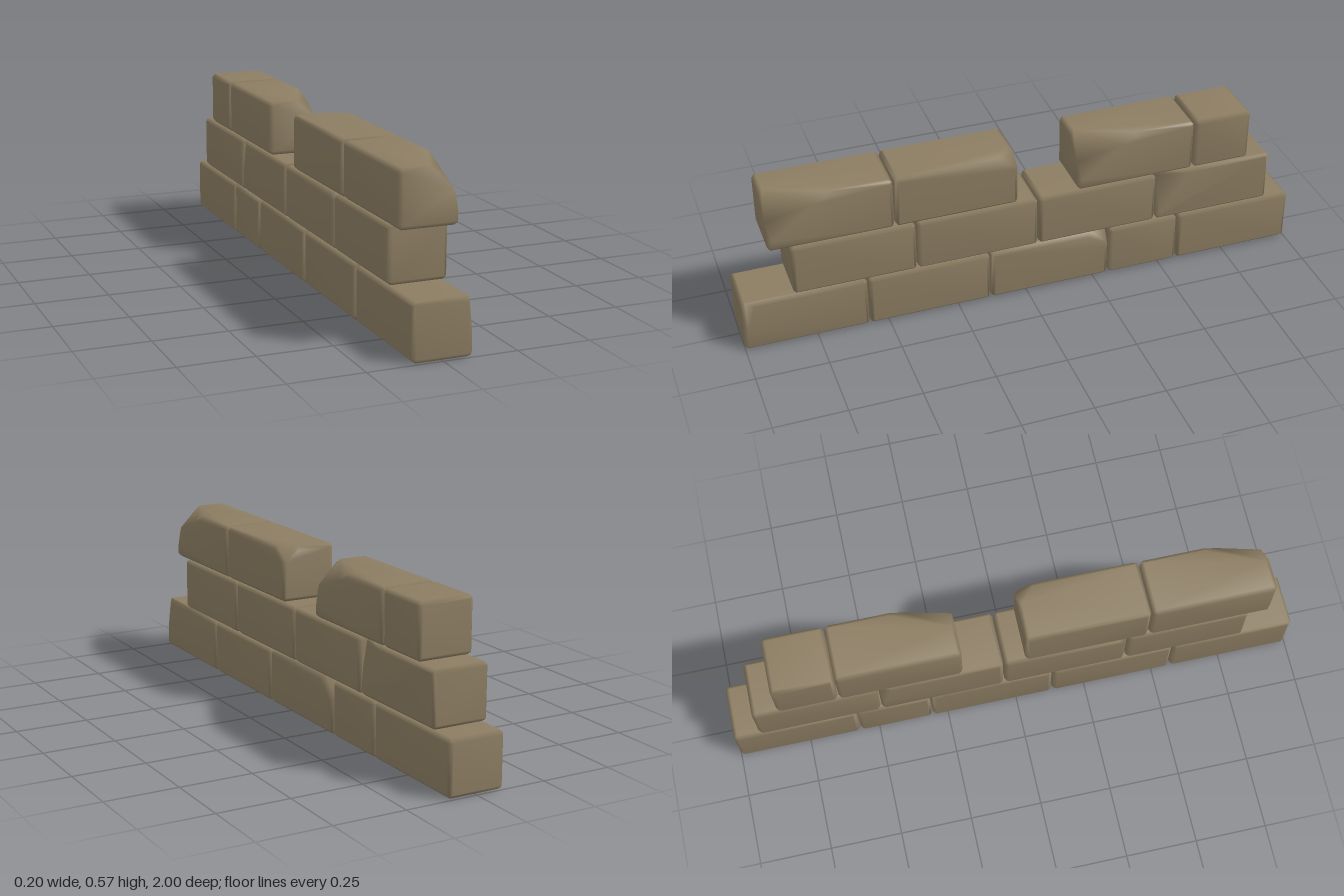
import * as THREE from 'three';
import { ConvexGeometry } from 'three/addons/geometries/ConvexGeometry.js';
import { mergeVertices } from 'three/addons/utils/BufferGeometryUtils.js';

const HALF_W = 0.101, ROW_H = 0.19, BEVEL = 0.014;

// Each brick: [z max, z min, ...chips]; a chip is [corner signs, distances cut along x, y, z]
const ROWS = [
  [
    [1, 0.569, [[1, 1, 1], [0.02, 0.16, 0.05]]],
    [0.565, 0.134, [[-1, -1, 1], [0.03, 0.025, 0.03]]],
    [0.13, -0.303, [[1, 1, -1], [0.05, 0.085, 0.09]]],
    [-0.307, -0.565],
    [-0.569, -1],
  ],
  [
    [0.82, 0.393],
    [0.389, -0.04, [[-1, 1, 1], [0.045, 0.04, 0.04]]],
    [-0.044, -0.476, [[-1, 1, -1], [0.016, 0.16, 0.05]]],
    [-0.48, -0.909, [[1, 1, 1], [0.03, 0.18, 0.13]]],
  ],
  [
    [0.892, 0.464, [[1, 1, 1], [0.1, 0.1, 0.24]], [[1, 1, 1], [0.04, 0.16, 0.2]]],
    [0.46, 0.032, [[1, 1, -1], [0.08, 0.06, 0.08]]],
    [-0.184, -0.609, [[1, 1, 1], [0.1, 0.1, 0.24]], [[1, 1, 1], [0.04, 0.16, 0.2]]],
    [-0.613, -0.822],
  ],
];

// Plane that slices a corner or edge off a box of half size h
function cutPlane(h, signs, dist) {
  const n = new THREE.Vector3(...signs.map((s, i) => (s ? s / dist[i] : 0)));
  const reach = signs.reduce((sum, s, i) => sum + (s ? h[i] / dist[i] : 0), 0) - 1;
  const len = n.length();
  return { n: n.divideScalar(len), d: reach / len };
}

// Bevelled box with chipped corners, built from the corners where its planes meet
function brickGeometry(h, chips) {
  const planes = [];
  for (let i = 0; i < 3; i++) {
    for (const s of [-1, 1]) {
      const face = [0, 0, 0];
      face[i] = s;
      planes.push({ n: new THREE.Vector3(...face), d: h[i] });
      for (const t of [-1, 1]) {
        const edge = [0, 0, 0];
        edge[i] = s;
        edge[(i + 1) % 3] = t;
        planes.push(cutPlane(h, edge, [BEVEL, BEVEL, BEVEL]));
      }
    }
  }
  for (const [signs, dist] of chips) planes.push(cutPlane(h, signs, dist));

  const points = [];
  const bc = new THREE.Vector3(), ca = new THREE.Vector3(), ab = new THREE.Vector3();
  for (let i = 0; i < planes.length; i++)
    for (let j = i + 1; j < planes.length; j++)
      for (let k = j + 1; k < planes.length; k++) {
        const [a, b, c] = [planes[i], planes[j], planes[k]];
        bc.crossVectors(b.n, c.n);
        ca.crossVectors(c.n, a.n);
        ab.crossVectors(a.n, b.n);
        const det = a.n.dot(bc);
        if (Math.abs(det) < 1e-5) continue;
        const p = new THREE.Vector3().addScaledVector(bc, a.d)
          .addScaledVector(ca, b.d).addScaledVector(ab, c.d).divideScalar(det);
        if (planes.some((q) => q.n.dot(p) > q.d + 1e-7)) continue;
        if (points.some((q) => q.distanceTo(p) < 1e-4)) continue;
        points.push(p);
      }

  // Shared vertices give area-weighted smooth normals: flat faces, soft bevels
  const hull = new ConvexGeometry(points);
  hull.deleteAttribute('normal');
  const geometry = mergeVertices(hull, 1e-5);
  geometry.computeVertexNormals();
  return geometry;
}

export function createModel() {
  const wall = new THREE.Group();
  wall.name = 'brickWall';
  const stone = new THREE.MeshStandardMaterial({ color: 0x8c7d62 });
  stone.name = 'sandstone';

  ROWS.forEach((row, r) => {
    const course = new THREE.Group();
    course.name = ['bottomCourse', 'middleCourse', 'topCourse'][r];
    row.forEach(([z1, z0, ...chips], i) => {
      const h = [HALF_W, ROW_H / 2, (z1 - z0) / 2];
      const brick = new THREE.Mesh(brickGeometry(h, chips), stone);
      brick.name = `brick${i + 1}`;
      brick.position.set(0, ROW_H / 2 + r * 0.1905, (z1 + z0) / 2);
      course.add(brick);
    });
    wall.add(course);
  });
  return wall;
}
